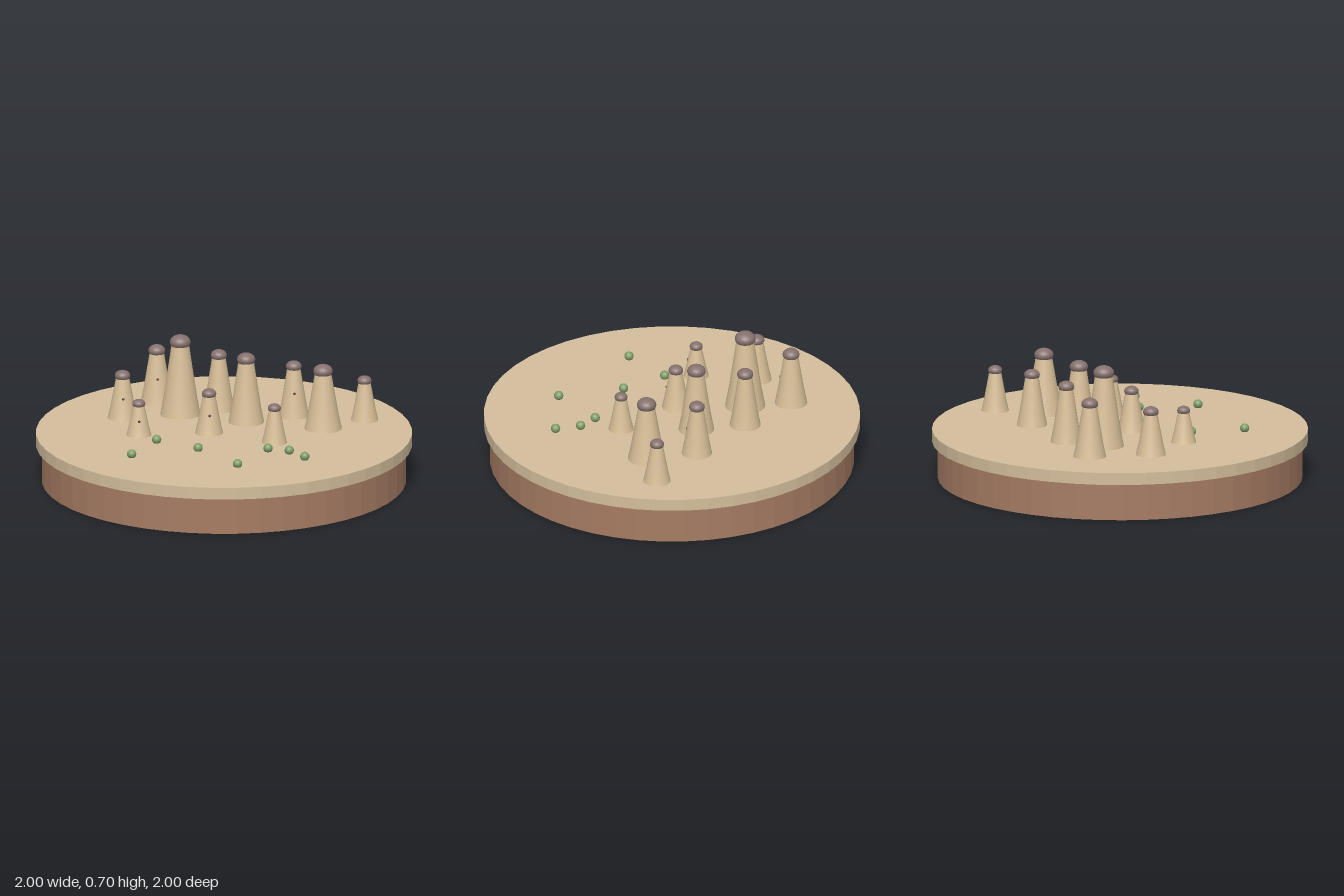
import * as THREE from 'three';

const mat = (name, color, extra = {}) => {
  const m = new THREE.MeshStandardMaterial({ color, ...extra });
  m.name = name;
  return m;
};

export function createModel() {
  const root = new THREE.Group();
  root.name = 'spireDiorama';

  const soil = mat('brown soil', 0xa67c63, { flatShading: true });
  const sand = mat('sand', 0xd4be9c, { flatShading: true });
  const stone = mat('pale stone', 0xd8bf98);
  const capRock = mat('dark cap rock', 0x85716d);
  const leaf = mat('shrub green', 0x7f9d68);
  const hole = mat('dark opening', 0x4a3a30);

  const add = (parent, name, geo, material, x, y, z) => {
    const mesh = new THREE.Mesh(geo, material);
    mesh.name = name;
    mesh.position.set(x, y, z);
    parent.add(mesh);
    return mesh;
  };

  // Round plinth: soil drum below, wider sand slab on top
  const ground = 0.265;
  add(root, 'soilBase', new THREE.CylinderGeometry(0.97, 0.97, 0.2, 48), soil, 0, 0.1, 0);
  add(root, 'sandSlab', new THREE.CylinderGeometry(1, 1, 0.065, 48), sand, 0, 0.2325, 0);

  // Rock spires: x, z, top height, base radius, has window
  const spires = [
    [-0.32, -0.56, 0.585, 0.087, 1],
    [-0.21, -0.34, 0.705, 0.107, 0],
    [0, -0.41, 0.597, 0.083, 0],
    [-0.52, -0.30, 0.527, 0.08, 1],
    [0.13, -0.18, 0.647, 0.095, 0],
    [0.39, -0.27, 0.57, 0.081, 1],
    [0.76, -0.17, 0.51, 0.073, 0],
    [0.53, -0.035, 0.62, 0.1, 0],
    [-0.08, 0.005, 0.51, 0.075, 1],
    [-0.455, 0.017, 0.463, 0.067, 1],
    [0.255, 0.2, 0.48, 0.067, 0],
  ];
  const profile = [[1, 0], [0.83, 0.25], [0.61, 0.65], [0.42, 1]];
  const capGeo = new THREE.SphereGeometry(1, 20, 14);
  const holeGeo = new THREE.SphereGeometry(0.007, 8, 6);

  spires.forEach(([x, z, top, r, windowed]) => {
    const spire = new THREE.Group();
    spire.name = 'spire';
    spire.position.set(x, ground, z);
    root.add(spire);
    const h = top - ground - 0.37 * r;
    const points = profile.map(([pr, py]) => new THREE.Vector2(pr * r, py * h));
    add(spire, 'spireCone', new THREE.LatheGeometry(points, 24), stone, 0, 0, 0);
    add(spire, 'spireCap', capGeo, capRock, 0, h, 0).scale.set(0.52 * r, 0.37 * r, 0.52 * r);
    // Small carved opening facing the front
    if (windowed) add(spire, 'spireWindow', holeGeo, hole, 0, 0.5 * h, 0.68 * r);
  });

  // Scattered shrubs
  const shrubGeo = new THREE.SphereGeometry(0.025, 14, 10);
  [
    [-0.37, 0.165], [-0.16, 0.325], [0.21, 0.36], [0.32, 0.405],
    [0.395, 0.52], [0.03, 0.625], [-0.52, 0.415],
  ].forEach(([x, z]) => add(root, 'shrub', shrubGeo, leaf, x, 0.283, z));

  return root;
}
